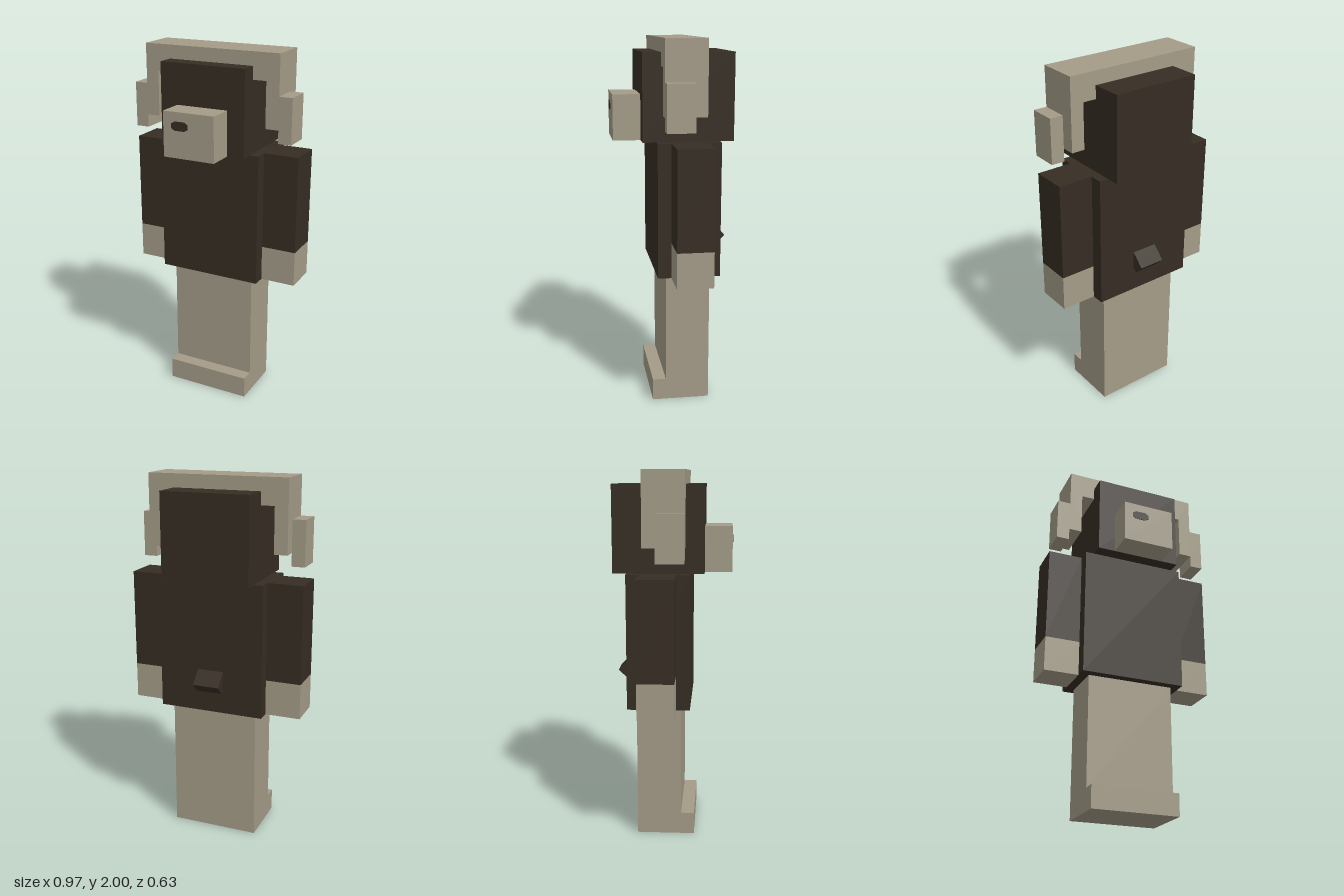
import * as THREE from 'three';

export function createModel() {
  const model = new THREE.Group();
  const dark = new THREE.MeshStandardMaterial({ color: 0x362d23 });
  dark.name = 'dark fur';
  const tan = new THREE.MeshStandardMaterial({ color: 0xa49c88 });
  tan.name = 'pale tan';

  // Box given by its extents on each axis
  function box(name, material, [x0, x1], [y0, y1], [z0, z1]) {
    const mesh = new THREE.Mesh(new THREE.BoxGeometry(x1 - x0, y1 - y0, z1 - z0), material);
    mesh.position.set((x0 + x1) / 2, (y0 + y1) / 2, (z0 + z1) / 2);
    mesh.name = name;
    model.add(mesh);
    return mesh;
  }

  // Flat outline extruded along its normal
  function slab(name, material, points, depth) {
    const shape = new THREE.Shape(points.map(([x, y]) => new THREE.Vector2(x, y)));
    const geometry = new THREE.ExtrudeGeometry(shape, { depth, bevelEnabled: false });
    const mesh = new THREE.Mesh(geometry, material);
    mesh.name = name;
    model.add(mesh);
    return mesh;
  }

  // Head, snout and body
  box('head', dark, [-0.243, 0.243], [1.465, 1.927], [-0.315, 0.17]);
  box('snout', tan, [-0.146, 0.146], [1.465, 1.708], [0.17, 0.317]);
  box('body', dark, [-0.293, 0.293], [0.735, 1.465], [-0.241, 0.098]);

  // Joined legs with a foot step at the front
  const legs = slab('legs', tan, [
    [-0.122, 0], [0.193, 0], [0.193, 0.735], [-0.049, 0.735], [-0.049, 0.122], [-0.122, 0.122],
  ], 0.486);
  legs.rotation.y = Math.PI / 2;
  legs.position.x = -0.243;

  // Horn arch over the head
  slab('hornArch', tan, [
    [-0.39, 1.61], [-0.317, 1.61], [-0.317, 1.857], [0.317, 1.857],
    [0.317, 1.61], [0.39, 1.61], [0.39, 2], [-0.39, 2],
  ], 0.219).position.z = -0.146;

  // Arms, hands and horn tips on both sides
  for (const [side, s] of [['left', 1], ['right', -1]]) {
    const span = (a, b) => (s > 0 ? [a, b] : [-b, -a]);
    box(side + 'Arm', dark, span(0.293, 0.487), [0.93, 1.465], [-0.17, 0.025]);
    box(side + 'Hand', tan, span(0.293, 0.487), [0.735, 0.93], [-0.17, 0.025]);
    box(side + 'HornTip', tan, span(0.39, 0.463), [1.54, 1.785], [-0.073, 0.073]);
  }

  // Tail stub, tilted 45 degrees out of the back
  const tail = box('tail', dark, [-0.073, 0.073], [0.863, 0.963], [-0.284, -0.214]);
  tail.position.set(0, 0.913, -0.25);
  tail.rotation.x = Math.PI / 4;

  // Single nostril on the snout front
  const nostril = slab('nostril', dark, [
    [-0.048, -0.012], [-0.028, -0.024], [0.028, -0.024], [0.048, -0.012],
    [0.048, 0.012], [0.028, 0.024], [-0.028, 0.024], [-0.048, 0.012],
  ], 0.004);
  nostril.position.set(-0.05, 1.635, 0.316);

  return model;
}
